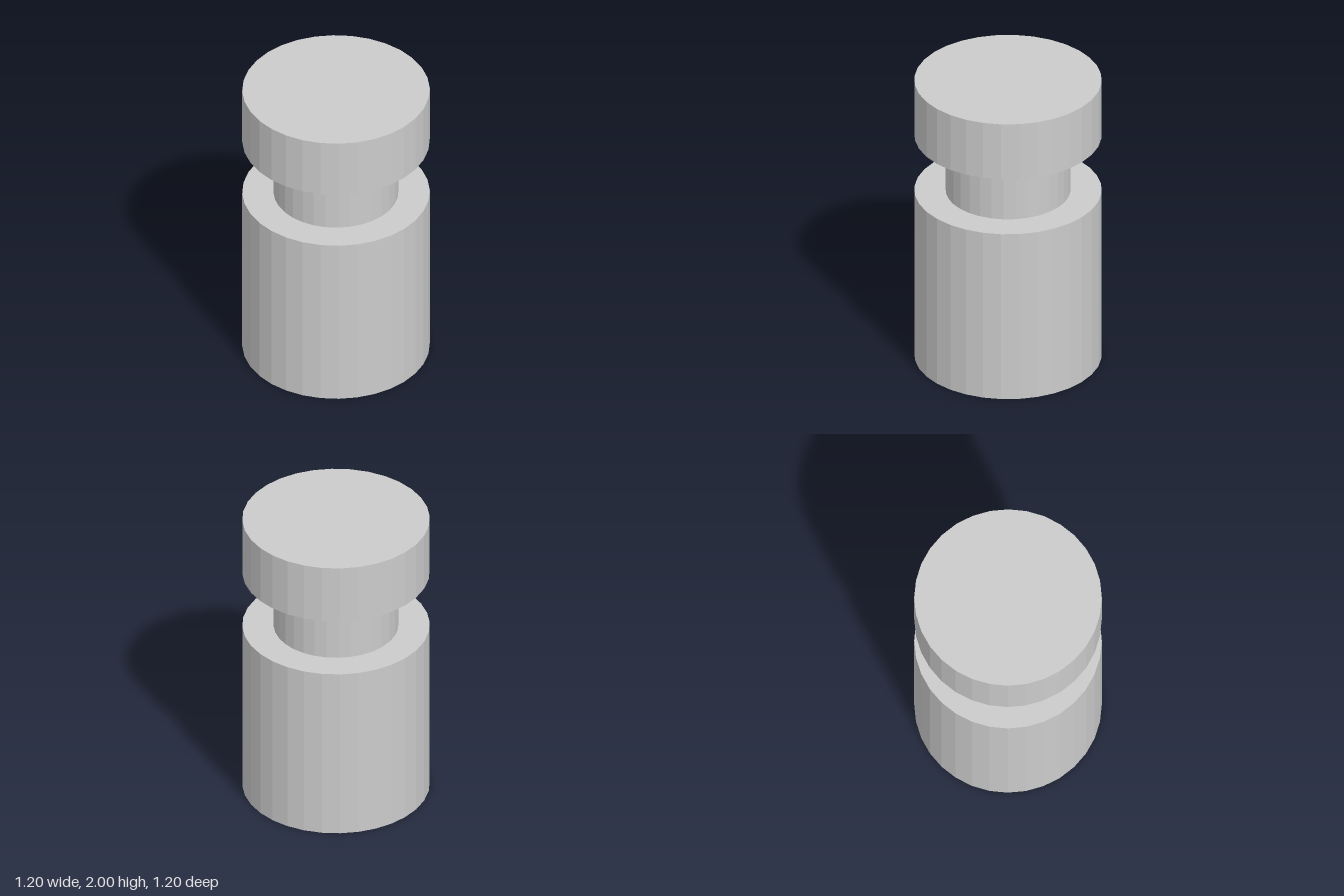
import * as THREE from 'three';

const SIDES = 32;

export function createModel() {
  const model = new THREE.Group();
  model.name = 'groovedCylinder';
  const material = new THREE.MeshStandardMaterial({ color: 0xcccccc, flatShading: true });

  // Upright faceted cylinder spanning bottom to top
  function addCylinder(name, radius, bottom, top, openEnded = false) {
    const geometry = new THREE.CylinderGeometry(radius, radius, top - bottom, SIDES, 1, openEnded);
    const mesh = new THREE.Mesh(geometry, material);
    mesh.name = name;
    mesh.position.y = (bottom + top) / 2;
    model.add(mesh);
  }

  addCylinder('body', 0.6, 0, 1.2);
  addCylinder('neck', 0.4, 1.2, 1.6, true); // ends are covered by body and cap
  addCylinder('cap', 0.6, 1.6, 2);

  return model;
}
